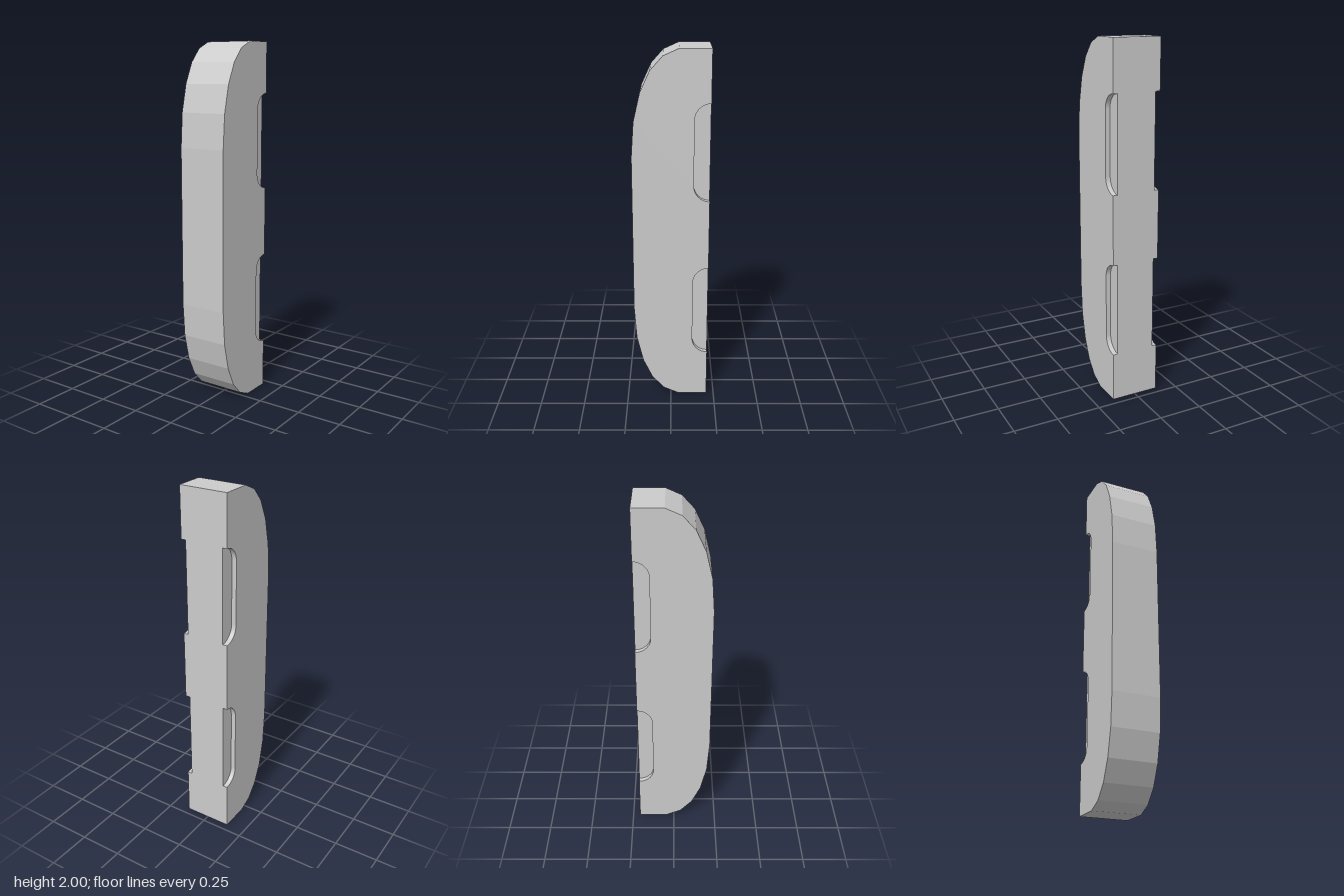
import * as THREE from 'three';

const HALF_WIDTH = 0.138;
const RECESS_DEPTH = 0.027;
const BACK = -0.208;
const RECESS_RADIUS = 0.086;

// Lower half of the rounded front edge as [z, y]; the upper half mirrors it about y = 1
const EDGE = [[-0.042, 0], [0.041, 0.037], [0.108, 0.111], [0.16, 0.223], [0.195, 0.373], [0.208, 0.56]];

// Side outline, optionally with the two round-cornered notches in its back edge
function outline(notched) {
  const shape = new THREE.Shape();
  shape.moveTo(BACK, 0);
  EDGE.forEach(([z, y]) => shape.lineTo(z, y));
  [...EDGE].reverse().forEach(([z, y]) => shape.lineTo(z, 2 - y));
  shape.lineTo(BACK, 2);
  if (notched) {
    for (const [top, bottom] of [[1.723, 1.195], [0.805, 0.277]]) {
      const r = RECESS_RADIUS;
      shape.lineTo(BACK, top);
      shape.absarc(BACK, top - r, r, Math.PI / 2, 0, true);
      shape.absarc(BACK, bottom + r, r, 0, -Math.PI / 2, true);
    }
  }
  shape.closePath();
  return shape;
}

// Slab of the outline filling x from xMin to xMax
function slab(name, notched, xMin, xMax, material) {
  const geometry = new THREE.ExtrudeGeometry(outline(notched), {
    depth: xMax - xMin, bevelEnabled: false, curveSegments: 8,
  });
  geometry.rotateY(-Math.PI / 2);
  geometry.translate(xMax, 0, 0);
  const mesh = new THREE.Mesh(geometry, material);
  mesh.name = name;
  return mesh;
}

export function createModel() {
  const group = new THREE.Group();
  group.name = 'grip';
  const material = new THREE.MeshStandardMaterial({ color: 0xcccccc });
  const inner = HALF_WIDTH - RECESS_DEPTH;

  // Solid core, whose sides form the floors of the recesses
  group.add(slab('core', false, -inner, inner, material));

  // Notched side layers that form the finger recesses
  group.add(slab('leftSide', true, inner, HALF_WIDTH, material));
  group.add(slab('rightSide', true, -HALF_WIDTH, -inner, material));
  return group;
}
